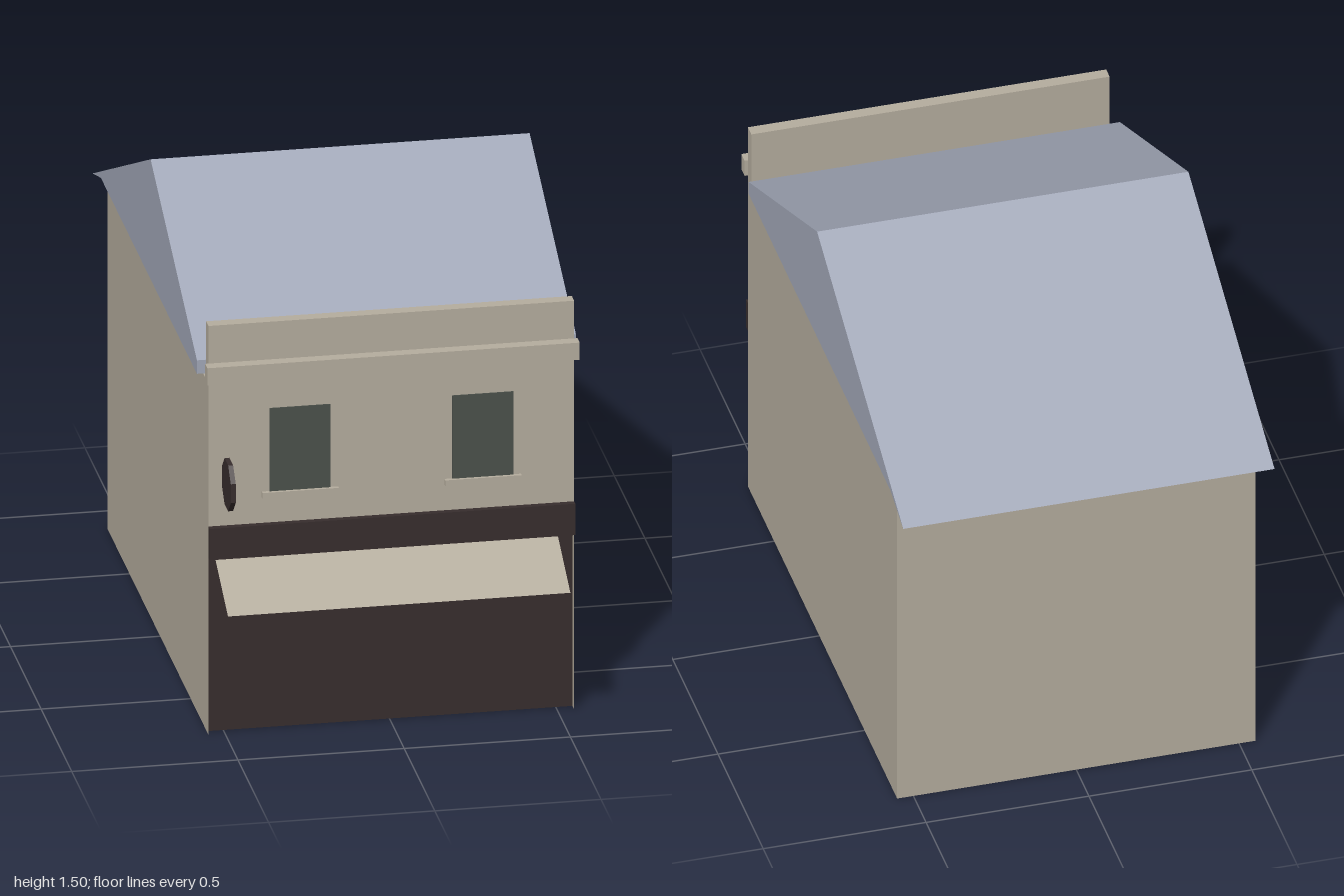
import * as THREE from 'three';

export function createModel() {
  const house = new THREE.Group();
  house.name = 'shopHouse';

  const mat = (name, color, side = THREE.FrontSide) => {
    const m = new THREE.MeshStandardMaterial({ color, side });
    m.name = name;
    return m;
  };
  const stone = mat('stone', 0xb5ad9e, THREE.DoubleSide);
  const slate = mat('slate', 0xa2a8b8);
  const darkWood = mat('darkWood', 0x372d2d, THREE.DoubleSide);
  const glass = mat('glass', 0x4b514b);

  const add = (name, geometry, material) => {
    const mesh = new THREE.Mesh(geometry, material);
    mesh.name = name;
    house.add(mesh);
    return mesh;
  };
  // Box from its minimum and maximum corners
  const box = (name, [x0, y0, z0], [x1, y1, z1], material) =>
    add(name, new THREE.BoxGeometry(x1 - x0, y1 - y0, z1 - z0), material)
      .position.set((x0 + x1) / 2, (y0 + y1) / 2, (z0 + z1) / 2);
  // Flat sheet, turned about x and y, then placed by its centre
  const sheet = (name, w, h, rx, ry, pos, material) =>
    add(name, new THREE.PlaneGeometry(w, h).rotateX(rx).rotateY(ry), material)
      .position.set(...pos);

  const W = 0.55, H = 1.12, front = 0.79, back = -0.86;
  const midZ = (front + back) / 2, depth = front - back, shopTop = 0.565;

  // Hollow shell, open below
  for (const s of [-1, 1])
    sheet(s > 0 ? 'leftWall' : 'rightWall', depth, H, 0, s * Math.PI / 2, [s * W, H / 2, midZ], stone);
  sheet('backWall', 2 * W, H, 0, Math.PI, [0, H / 2, back], stone);
  sheet('frontWall', 2 * W, H - shopTop, 0, 0, [0, (H + shopTop) / 2, front], stone);
  sheet('ceiling', 2 * W, depth, -Math.PI / 2, 0, [0, H, midZ], stone);

  // Recessed shop front with fascia board and awning
  sheet('shopFront', 2 * W, shopTop, 0, 0, [0, shopTop / 2, front - 0.03], darkWood);
  box('fascia', [-W, shopTop, front], [W, 0.665, 0.81], darkWood);
  const drop = 0.1, reach = 0.205;
  sheet('awning', 1.03, Math.hypot(drop, reach), -Math.atan2(reach, drop), 0,
    [-0.015, 0.51, 1 - reach / 2], stone);

  // Upper windows and sills
  for (const x of [-0.275, 0.275]) {
    box('window', [x - 0.092, 0.765, front], [x + 0.092, 1.03, front + 0.003], glass);
    box('windowSill', [x - 0.115, 0.747, front], [x + 0.115, 0.765, 0.803], stone);
  }

  // Parapet and cornice
  box('parapet', [-W, H, 0.752], [W, 1.305, front], stone);
  box('cornice', [-0.56, 1.13, front], [0.56, 1.185, 0.826], stone);

  // Gabled roof: side profile in (z, y) swept across the width
  const profile = new THREE.Shape([
    [0.71, 1.122], [0.71, 1.165], [-0.047, 1.505], [-1, 1.08], [-0.86, 1.122],
  ].map(([z, y]) => new THREE.Vector2(z, y)));
  const roof = new THREE.ExtrudeGeometry(profile, { depth: 1.14, bevelEnabled: false });
  add('roof', roof.translate(0, 0, -0.57).rotateY(-Math.PI / 2), slate);

  // Octagonal hanging sign
  const sign = new THREE.CylinderGeometry(0.079, 0.079, 0.015, 8).rotateY(Math.PI / 8).rotateZ(Math.PI / 2);
  const signMesh = add('hangingSign', sign.toNonIndexed(), darkWood);
  signMesh.geometry.computeVertexNormals();
  signMesh.position.set(-0.51, 0.842, 0.905);

  return house;
}
